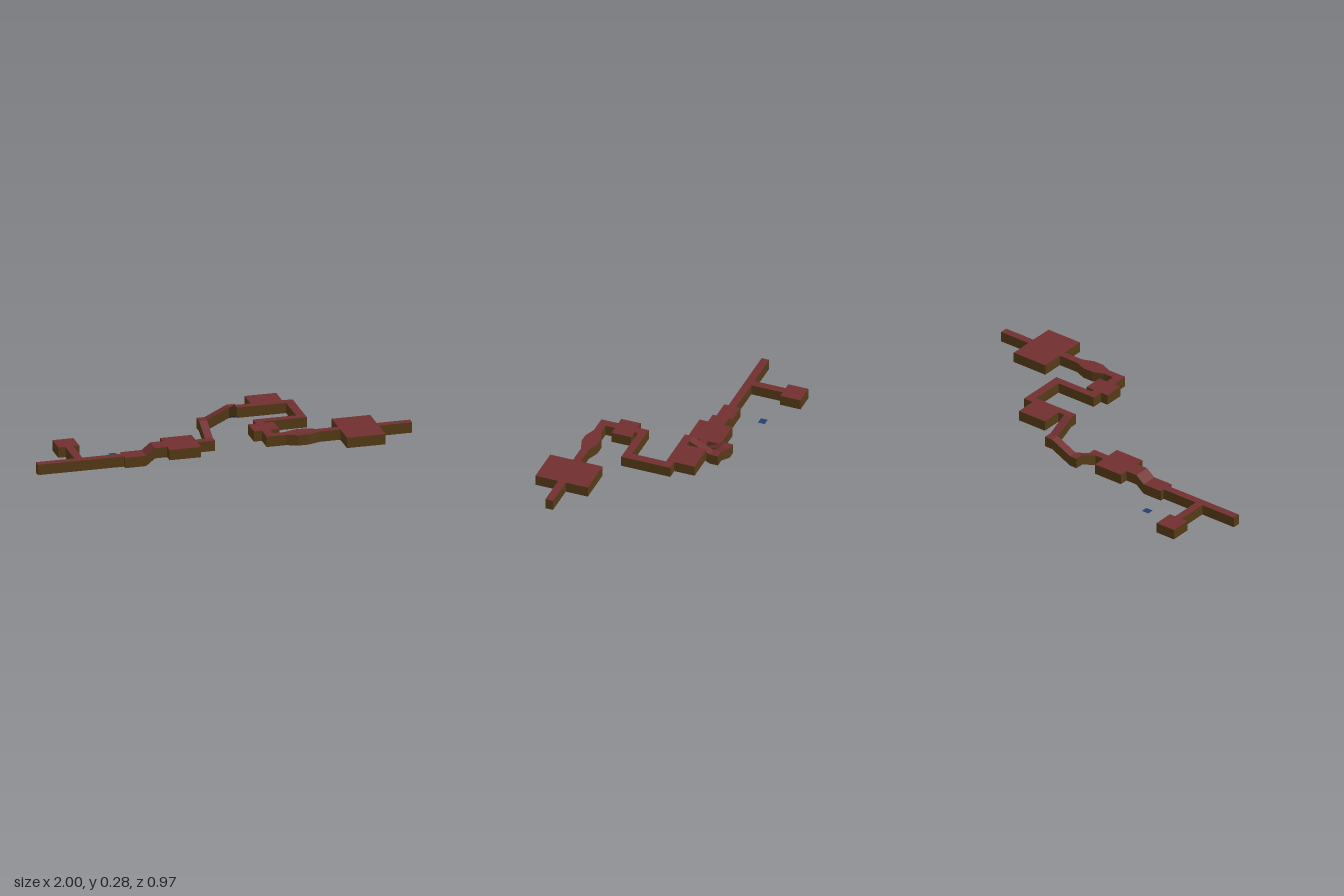
import * as THREE from 'three';

const HEIGHT = 0.06; // floor to ceiling

const mat = (color) => new THREE.MeshStandardMaterial({ color, side: THREE.DoubleSide, flatShading: true });

// Plan outline as [x, z] corners, counter-clockwise from above; flare widens the x1 end
const plan = (x0, x1, z0, z1, flare = 0) => [[x0, z1], [x1, z1 + flare], [x1, z0 - flare], [x0, z0]];

const edgesOf = (outline) => outline.map((a, i) => [a, outline[(i + 1) % outline.length]]);
const toV2 = (outline) => outline.map(([x, z]) => new THREE.Vector2(x, -z));

// Floor height rules
const flat = (y) => () => y;
const rise = (t, a, b, h0, h1) => h0 + (h1 - h0) * (t - a) / (b - a);

// Level or sloping face over a plan outline
function surface(outline, heightAt, faceDown, hole) {
  const shape = new THREE.Shape(toV2(outline));
  if (hole) shape.holes.push(new THREE.Path(toV2(hole)));
  const geo = new THREE.ShapeGeometry(shape);
  const p = geo.attributes.position;
  for (let i = 0; i < p.count; i++) {
    const x = p.getX(i), z = -p.getY(i);
    p.setXYZ(i, x, heightAt(x, z), z);
  }
  if (faceDown) geo.index.array.reverse();
  geo.computeVertexNormals();
  return geo;
}

// Upright quads along plan edges
function wallStrip(edges, bottomAt, topAt) {
  const v = [];
  for (const [a, b] of edges) {
    const a0 = [a[0], bottomAt(...a), a[1]], a1 = [a[0], topAt(...a), a[1]];
    const b0 = [b[0], bottomAt(...b), b[1]], b1 = [b[0], topAt(...b), b[1]];
    v.push(...a0, ...b0, ...b1, ...a0, ...b1, ...a1);
  }
  const geo = new THREE.BufferGeometry();
  geo.setAttribute('position', new THREE.Float32BufferAttribute(v, 3));
  geo.computeVertexNormals();
  return geo;
}

// Pieces of edge p-q left solid once the doorways shared with other edges are cut out
function solidPieces([p, q], otherEdges) {
  const dx = q[0] - p[0], dz = q[1] - p[1], len2 = dx * dx + dz * dz;
  const along = (r) => ((r[0] - p[0]) * dx + (r[1] - p[1]) * dz) / len2;
  const onLine = (r) => Math.abs((r[0] - p[0]) * dz - (r[1] - p[1]) * dx) < 1e-6;
  const at = (t) => [p[0] + dx * t, p[1] + dz * t];
  const doors = otherEdges
    .filter(([r, s]) => onLine(r) && onLine(s))
    .map(([r, s]) => [Math.max(0, along(s)), Math.min(1, along(r))])
    .filter(([start, end]) => end - start > 1e-4)
    .sort((m, n) => m[0] - n[0]);
  const pieces = [];
  let t = 0;
  for (const [start, end] of [...doors, [1, 1]]) {
    if (start - t > 1e-4) pieces.push([at(t), at(start)]);
    t = end;
  }
  return pieces;
}

export function createModel() {
  const group = new THREE.Group();
  const red = mat(0x702e2f), brown = mat(0x553a17), blue = mat(0x22406e);

  const add = (parent, name, geo, material) => {
    const mesh = new THREE.Mesh(geo, material);
    mesh.name = name;
    parent.add(mesh);
  };

  const chambers = [];
  const chamber = (name, floor, outline, hole) => chambers.push({ name, floor, outline, hole });

  // Lower level: entry corridor, side room and antechamber
  const low = flat(0);
  chamber('entryCorridor', low, plan(-1, -0.51, -0.18, -0.135));
  chamber('sideCorridor', low, plan(-0.78, -0.735, -0.365, -0.18));
  chamber('sideRoom', low, plan(-0.82, -0.7, -0.485, -0.365));
  chamber('antechamber', low, plan(-0.51, -0.39, -0.205, -0.11));
  chamber('firstRamp', (x) => rise(x, -0.39, -0.34, 0, 0.04), plan(-0.39, -0.34, -0.205, -0.11));

  // Middle level
  const mid = flat(0.04);
  chamber('middleLobby', mid, plan(-0.34, -0.27, -0.205, -0.11));
  chamber('middleRoom', mid, plan(-0.27, -0.09, -0.255, -0.06));
  chamber('middleCorridor', mid, plan(-0.09, 0.01, -0.18, -0.135));

  // Winding climb: three ramps joined by two landings
  chamber('secondRamp', (x, z) => rise(z, -0.18, -0.3, 0.04, 0.1), plan(-0.035, 0.01, -0.3, -0.18));
  chamber('lowerLanding', flat(0.1), plan(-0.035, 0.01, -0.35, -0.3));
  chamber('thirdRamp', (x) => rise(x, 0.01, 0.135, 0.1, 0.16), plan(0.01, 0.135, -0.35, -0.3));
  chamber('upperLanding', flat(0.16), plan(0.135, 0.185, -0.35, -0.3));
  chamber('fourthRamp', (x, z) => rise(z, -0.3, -0.18, 0.16, 0.22), plan(0.135, 0.185, -0.3, -0.18));

  // Upper level: alcove, looping corridor and small room
  const high = flat(0.22);
  chamber('alcoveCorridor', high, plan(0.135, 0.465, -0.18, -0.135));
  chamber('alcove', high, plan(0.225, 0.405, -0.3, -0.18));
  chamber('longCorridor', high, plan(0.415, 0.465, -0.135, 0.065));
  chamber('returnCorridor', high, plan(0.17, 0.465, 0.065, 0.11));
  chamber('smallRoomEntry', high, plan(0.17, 0.22, 0.11, 0.13));
  chamber('smallRoom', high, plan(0.125, 0.27, 0.13, 0.245));
  chamber('smallRoomExit', high, plan(0.17, 0.22, 0.245, 0.3));
  chamber('bendCorridor', high, plan(0.17, 0.28, 0.3, 0.345));

  // Bulging corridor, great hall with a recessed floor panel, and exit
  const recess = plan(0.625, 0.775, 0.205, 0.445);
  const panel = flat(0.226);
  chamber('bulgeStart', high, plan(0.28, 0.345, 0.3, 0.345, 0.025));
  chamber('bulgeMiddle', high, plan(0.345, 0.405, 0.275, 0.37));
  chamber('bulgeEnd', high, plan(0.405, 0.47, 0.275, 0.37, -0.025));
  chamber('hallCorridor', high, plan(0.47, 0.59, 0.3, 0.345));
  chamber('greatHall', high, plan(0.59, 0.81, 0.17, 0.48), recess);
  chamber('exitCorridor', high, plan(0.81, 1, 0.3, 0.345));

  for (const c of chambers) {
    const part = new THREE.Group();
    part.name = c.name;
    const ceiling = (x, z) => c.floor(x, z) + HEIGHT;
    const others = chambers.filter((o) => o !== c).flatMap((o) => edgesOf(o.outline));
    const walls = edgesOf(c.outline).flatMap((edge) => solidPieces(edge, others));
    add(part, c.name + 'Floor', surface(c.outline, c.floor, true, c.hole), blue);
    add(part, c.name + 'Ceiling', surface(c.outline, ceiling, false), red);
    if (walls.length) add(part, c.name + 'Walls', wallStrip(walls, c.floor, ceiling), brown);
    group.add(part);
  }

  add(group, 'hallFloorPanel', surface(recess, panel, true), blue);
  add(group, 'hallFloorRim', wallStrip(edgesOf(recess), high, panel), blue);

  // Detached floor tile
  add(group, 'looseTile', surface(plan(-0.54, -0.495, -0.355, -0.315), low, false), blue);

  return group;
}
